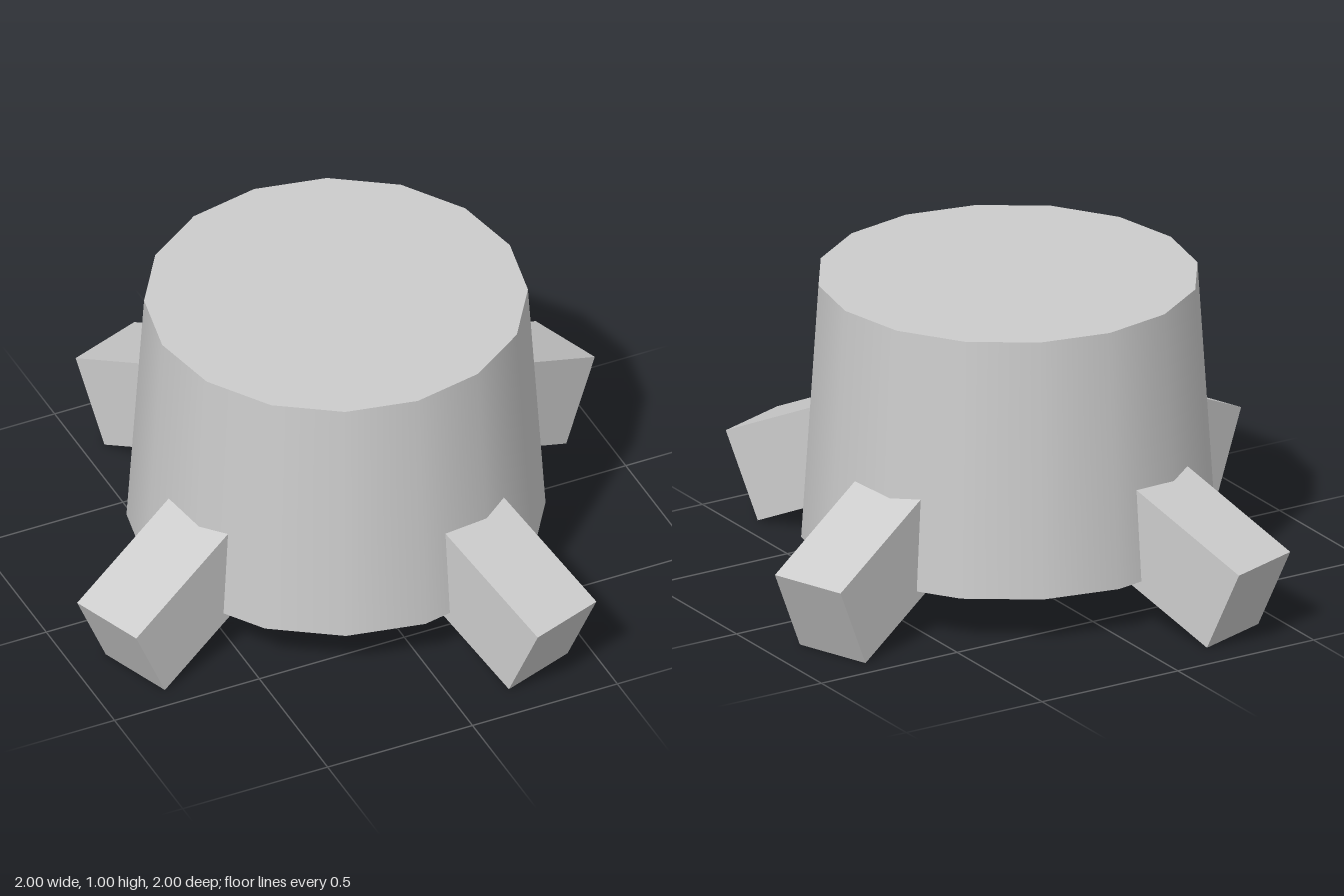
import * as THREE from 'three';

export function createModel() {
  const model = new THREE.Group();
  const grey = new THREE.MeshStandardMaterial({ color: 0xcccccc });
  grey.name = 'light grey';

  // Tapered sixteen-sided stump
  const trunk = new THREE.Mesh(new THREE.CylinderGeometry(0.6, 0.655, 0.84, 16), grey);
  trunk.name = 'trunk';
  trunk.position.y = 0.58;
  model.add(trunk);

  // Four square roots sloping down and outward, a quarter turn apart
  const tilt = THREE.MathUtils.degToRad(25);
  const height = 0.3, length = 0.7;
  const rootGeometry = new THREE.BoxGeometry(length, height, 0.26);
  rootGeometry.translate(-length / 2, 0, 0); // origin at the outer end
  rootGeometry.rotateZ(-tilt);
  rootGeometry.translate(0.953, (height / 2) * Math.cos(tilt), 0);
  for (let i = 0; i < 4; i++) {
    const root = new THREE.Mesh(rootGeometry, grey);
    root.name = `root${i + 1}`;
    root.rotation.y = THREE.MathUtils.degToRad(20 + 90 * i);
    model.add(root);
  }
  return model;
}
